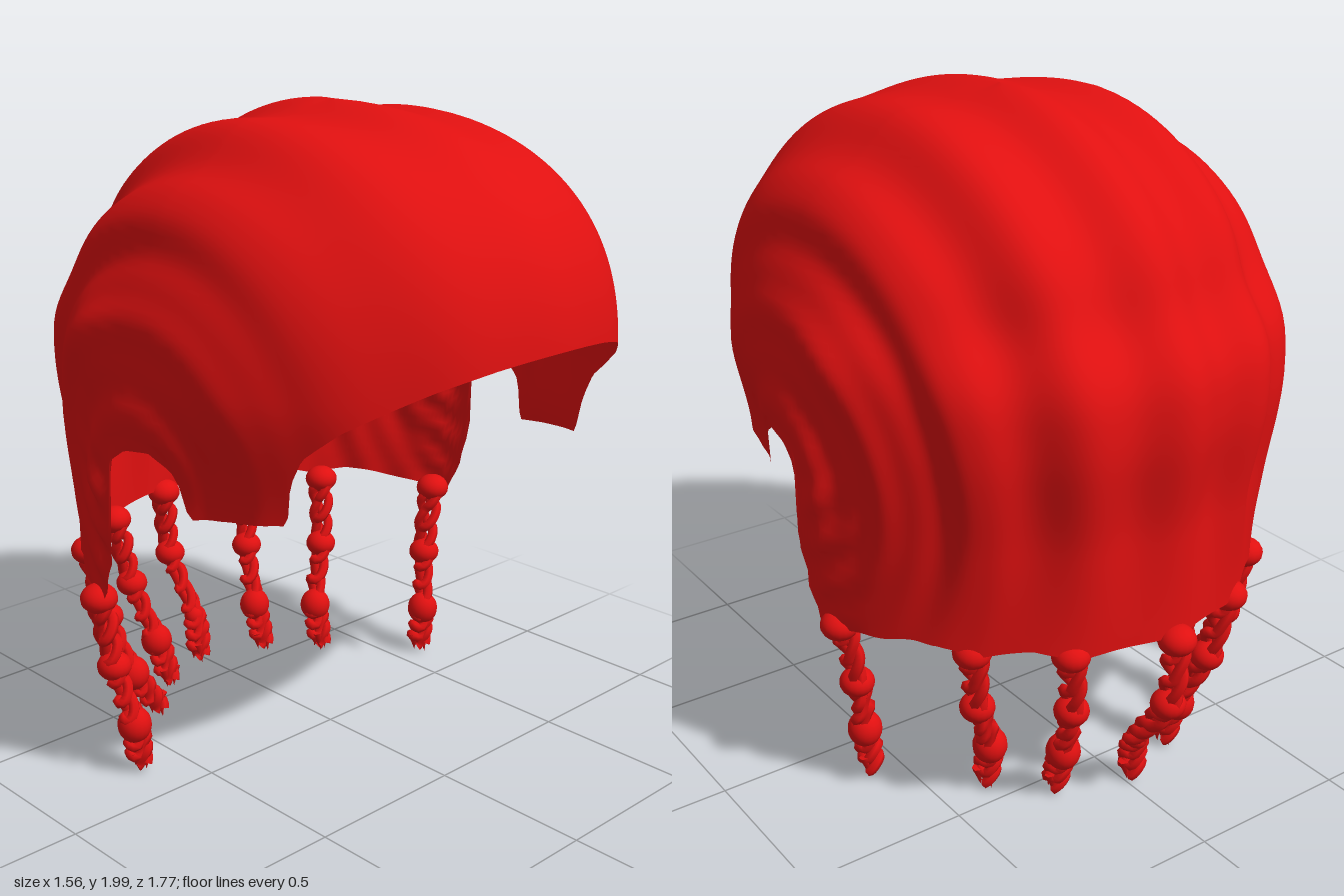
import * as THREE from 'three';

const red = new THREE.MeshStandardMaterial({ color: 0xe01010, side: THREE.DoubleSide });
red.name = 'hair red';

const { cos, sin, abs, pow, sign, hypot, max, exp } = Math;
const { lerp, smoothstep } = THREE.MathUtils;
const bump = (v, centre, width) => exp(-(((v - centre) / width) ** 2));

// Lower edge of the cap as [z, y], front to nape, with sideburn and ear notch
const edge = [
  [0.9, 1.41], [0.85, 1.385], [0.78, 1.345], [0.62, 1.24], [0.53, 1.16], [0.49, 1.08], [0.47, 0.965],
  [0.3, 0.945], [0.17, 0.925], [0.16, 1.0], [0.13, 1.06], [0.06, 1.1], [-0.03, 1.09], [-0.09, 1.05],
  [-0.11, 0.96], [-0.115, 0.84], [-0.14, 0.74], [-0.18, 0.64], [-0.22, 0.58], [-0.38, 0.595],
  [-0.56, 0.62], [-0.65, 0.595], [-0.73, 0.615], [-0.8, 0.59], [-0.9, 0.61],
];
function edgeY(z) {
  for (let i = 1; i < edge.length; i++) {
    const [z0, y0] = edge[i - 1], [z1, y1] = edge[i];
    if (z >= z1) return lerp(y0, y1, Math.min(1, max(0, (z0 - z) / (z0 - z1))));
  }
  return 0.61;
}

// Smooth skull surface at an angle around y and a height
const TOP = 1.98;
function skull(phi, y) {
  const c = cos(phi), s = sin(phi), front = s > 0;
  const height = lerp(0.85, front ? 0.7 : 0.85, abs(s));
  const p = front ? 2.5 : lerp(2.5, 2, -s);
  const q = max(0, (y - (TOP - height)) / height);
  const r = pow(max(0, 1 - pow(q, p)), 1 / p);
  const tuck = 1 - 0.045 * smoothstep(1.25 - y, 0, 0.35);
  // The nape is rounder than the crown, and the sideburns lean inward
  const round = lerp(1.05, 0.943, smoothstep(y, 0.6, 1.2));
  const lean = 1 - 0.08 * smoothstep(s, -0.1, 0.2) * smoothstep(1.3 - y, 0, 0.36);
  return new THREE.Vector3(
    0.76 * r * lean * sign(c) * pow(abs(c), front ? 1 : round), y,
    (front ? 0.885 : 0.865 * tuck) * r * sign(s) * pow(abs(s), front ? 0.9 : round));
}

// Raised rows that run from the hairline to the nape, fanning round each ear
function addRows(v) {
  const a = Math.atan2(abs(v.x), hypot(v.y - 1.0, v.z));
  const back = smoothstep(-v.z, -0.75, 0.3);
  const nape = smoothstep(v.y, 0.6, 1.1);
  const side = smoothstep(abs(v.x), 0.5, 0.68);
  let d = 0.02 * cos((a / 0.34) * Math.PI * 2) * lerp(0.15, 1, back) * lerp(0.25, 1, nape);
  d *= lerp(1, 0.55, smoothstep(a, 0.75, 1.0));
  d += 0.004 * cos(a * 43) * back * smoothstep(a, 0.5, 0.8);
  // Gentle dent and swell down the back of the head
  d += smoothstep(-v.z, 0.3, 0.7) * (0.012 * bump(v.y, 1.34, 0.1) - 0.022 * bump(v.y, 1.53, 0.1));
  // Flare above the ear and crumpled hair behind it
  d += 0.03 * side * bump(v.y, 1.37, 0.13) * bump(v.z, -0.25, 0.16);
  d += 0.014 * side * bump(v.z, -0.2, 0.1) * bump(v.y, 0.83, 0.2) * (1 + sin(v.y * 46 + v.z * 30));
  const out = new THREE.Vector3(v.x, v.y - 1.1, v.z).normalize();
  return v.addScaledVector(out, d);
}

// Dome rows share heights down to the waist; skirt rows run from there to the edge
function capGeometry() {
  const cols = 360, dome = 44, skirt = 16, rows = dome + skirt, points = [], index = [];
  for (let j = 0; j <= rows; j++) {
    for (let i = 0; i < cols; i++) {
      const phi = (i / cols) * Math.PI * 2;
      const low = edgeY(skull(phi, 1.1).z);
      const waist = max(low, 1.13);
      const y = j <= dome
        ? lerp(TOP, waist, pow(j / dome, 1.7))
        : lerp(waist, low, (j - dome) / skirt);
      points.push(...addRows(skull(phi, y)).toArray());
      if (j === rows) continue;
      const a = j * cols + i, b = j * cols + ((i + 1) % cols);
      if (j > 0) index.push(a, b, a + cols);
      index.push(b, b + cols, a + cols);
    }
  }
  const g = new THREE.BufferGeometry();
  g.setAttribute('position', new THREE.Float32BufferAttribute(points, 3));
  g.setIndex(index);
  g.computeVertexNormals();
  return g;
}

// One lock of a braid, winding unevenly round the centre path
class Lock extends THREE.Curve {
  constructor(path, phase) {
    super();
    this.path = path;
    this.phase = phase;
  }
  getPoint(t, target = new THREE.Vector3()) {
    const a = this.phase + t * 22 + 0.6 * sin(t * 17 + this.phase);
    const r = 0.022 + 0.008 * sin(t * 37 + this.phase * 2);
    return target.copy(this.path.getPoint(t)).add(new THREE.Vector3(cos(a) * r, 0.012 * sin(a * 2), sin(a) * r));
  }
}

function mesh(name, geometry) {
  const m = new THREE.Mesh(geometry, red);
  m.name = name;
  return m;
}

function braid(xs, zs, size) {
  const ys = [0.6, 0.365, 0.17, 0.04];
  const knots = ys.map((y, i) => new THREE.Vector3(xs[i], y, zs[i]));
  const path = new THREE.CatmullRomCurve3(knots);
  const g = new THREE.Group();
  g.name = 'braid';
  for (let k = 0; k < 3; k++) {
    g.add(mesh('braidLock', new THREE.TubeGeometry(new Lock(path, (k * Math.PI * 2) / 3), 72, 0.017, 6)));
    // Frayed tip
    const tip = mesh('braidTip', new THREE.ConeGeometry(0.018, 0.07, 6));
    const a = k * 2.1 + xs[0] * 5;
    tip.position.set(xs[3] + cos(a) * 0.02, 0.045, zs[3] + sin(a) * 0.02);
    tip.rotation.set(Math.PI - 0.2 * sin(a), 0, 0.2 * cos(a));
    g.add(tip);
  }
  // Beads at the root, middle and near the tip
  [[0.056, 0.045], [0.052, 0.044], [0.052 * size, 0.056 * size]].forEach(([r, h], i) => {
    const bead = mesh('bead', new THREE.SphereGeometry(1, 18, 12));
    bead.scale.set(r, h, r);
    bead.position.copy(knots[i]);
    if (i === 0) bead.position.y = 0.585;
    g.add(bead);
  });
  return g;
}

export function createModel() {
  const model = new THREE.Group();
  model.name = 'braidedHair';
  model.add(mesh('hairCap', capGeometry()));

  // Depth of the braids from the middle of the nape out to the ears
  const depth = [
    [-0.835, -0.81, -0.67, -0.64], [-0.73, -0.68, -0.6, -0.56],
    [-0.56, -0.51, -0.45, -0.42], [-0.22, -0.2, -0.165, -0.17],
  ];
  const across = [
    [-0.73, -0.7, -0.66, -0.64], [-0.525, -0.5, -0.45, -0.38], [-0.3, -0.275, -0.24, -0.225],
    [-0.01, -0.01, -0.02, -0.025],
    [0.28, 0.235, 0.2, 0.2], [0.49, 0.44, 0.355, 0.35], [0.71, 0.65, 0.61, 0.6],
  ];
  across.forEach((xs, i) => model.add(braid(xs, depth[abs(i - 3)], i === 3 ? 0.65 : 1)));
  return model;
}
